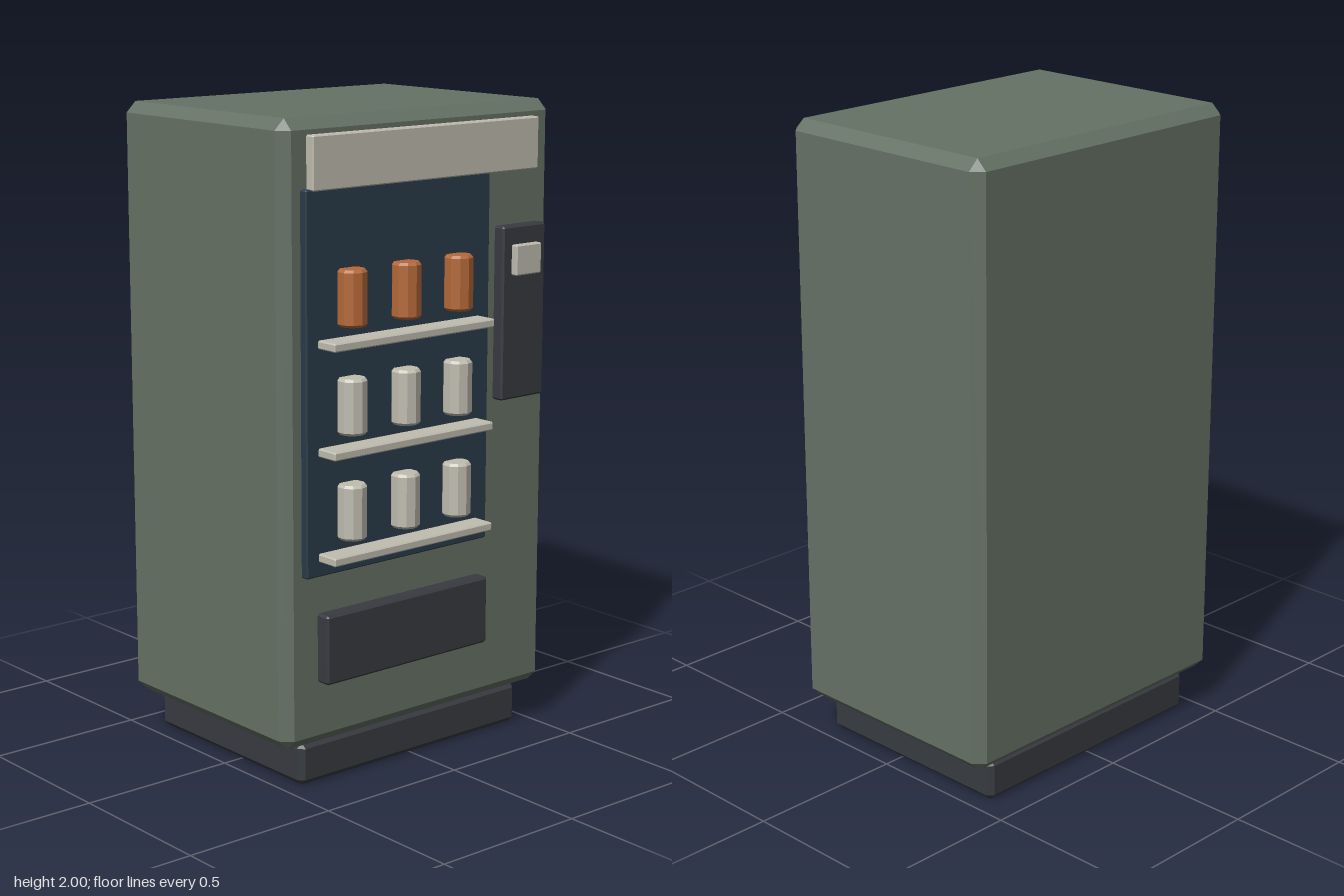
import * as THREE from 'three';
import { ConvexGeometry } from 'three/addons/geometries/ConvexGeometry.js';

const paint = (color) => new THREE.MeshStandardMaterial({ color, flatShading: true });

// Box between two corners, with every edge cut by a flat chamfer c
function chamferBox(min, max, c) {
  const h = max.map((v, i) => (v - min[i]) / 2);
  const points = [];
  for (const sx of [-1, 1]) for (const sy of [-1, 1]) for (const sz of [-1, 1]) {
    for (let axis = 0; axis < 3; axis++) {
      const p = h.map((v, i) => (i === axis ? v : v - c));
      points.push(new THREE.Vector3(sx * p[0], sy * p[1], sz * p[2]));
    }
  }
  return new ConvexGeometry(points);
}

export function createModel() {
  const model = new THREE.Group();
  const green = paint(0x667265);
  const dark = paint(0x383b41);
  const navy = paint(0x2a3b4a);
  const cream = paint(0xc0bdb0);
  const orange = paint(0xb5693a);

  const addBox = (name, material, min, max, chamfer) => {
    const mesh = new THREE.Mesh(chamferBox(min, max, chamfer), material);
    mesh.position.set(...min.map((v, i) => (v + max[i]) / 2));
    mesh.name = name;
    model.add(mesh);
  };

  // Cabinet on its recessed plinth
  addBox('plinth', dark, [-0.447, 0, -0.403], [0.447, 0.135, 0.308], 0.018);
  addBox('cabinet', green, [-0.531, 0.133, -0.441], [0.531, 2, 0.341], 0.033);

  // Front fittings
  addBox('window', navy, [-0.468, 0.665, 0.338], [0.246, 1.8, 0.367], 0.004);
  addBox('headerSign', cream, [-0.445, 1.795, 0.338], [0.442, 1.953, 0.372], 0.004);
  addBox('controlPanel', dark, [0.289, 1.093, 0.338], [0.468, 1.63, 0.382], 0.006);
  addBox('display', cream, [0.325, 1.479, 0.37], [0.431, 1.573, 0.404], 0.004);
  addBox('deliveryTray', dark, [-0.411, 0.333, 0.338], [0.234, 0.546, 0.391], 0.007);

  // Cans with bevelled rims, three per shelf
  const canProfile = [[0, 0], [0.038, 0], [0.045, 0.008], [0.045, 0.159], [0.038, 0.167], [0, 0.167]]
    .map(([r, y]) => new THREE.Vector2(r, y));
  const canGeometry = new THREE.LatheGeometry(canProfile, 10);
  [[0.71, cream], [1.025, cream], [1.342, orange]].forEach(([y, canMaterial]) => {
    addBox('shelf', cream, [-0.424, y, 0.345], [0.203, y + 0.026, 0.44], 0.004);
    for (let i = 0; i < 3; i++) {
      const can = new THREE.Mesh(canGeometry, canMaterial);
      can.position.set(-0.317 + i * 0.207, y + 0.059, 0.391);
      can.name = 'can';
      model.add(can);
    }
  });

  return model;
}
